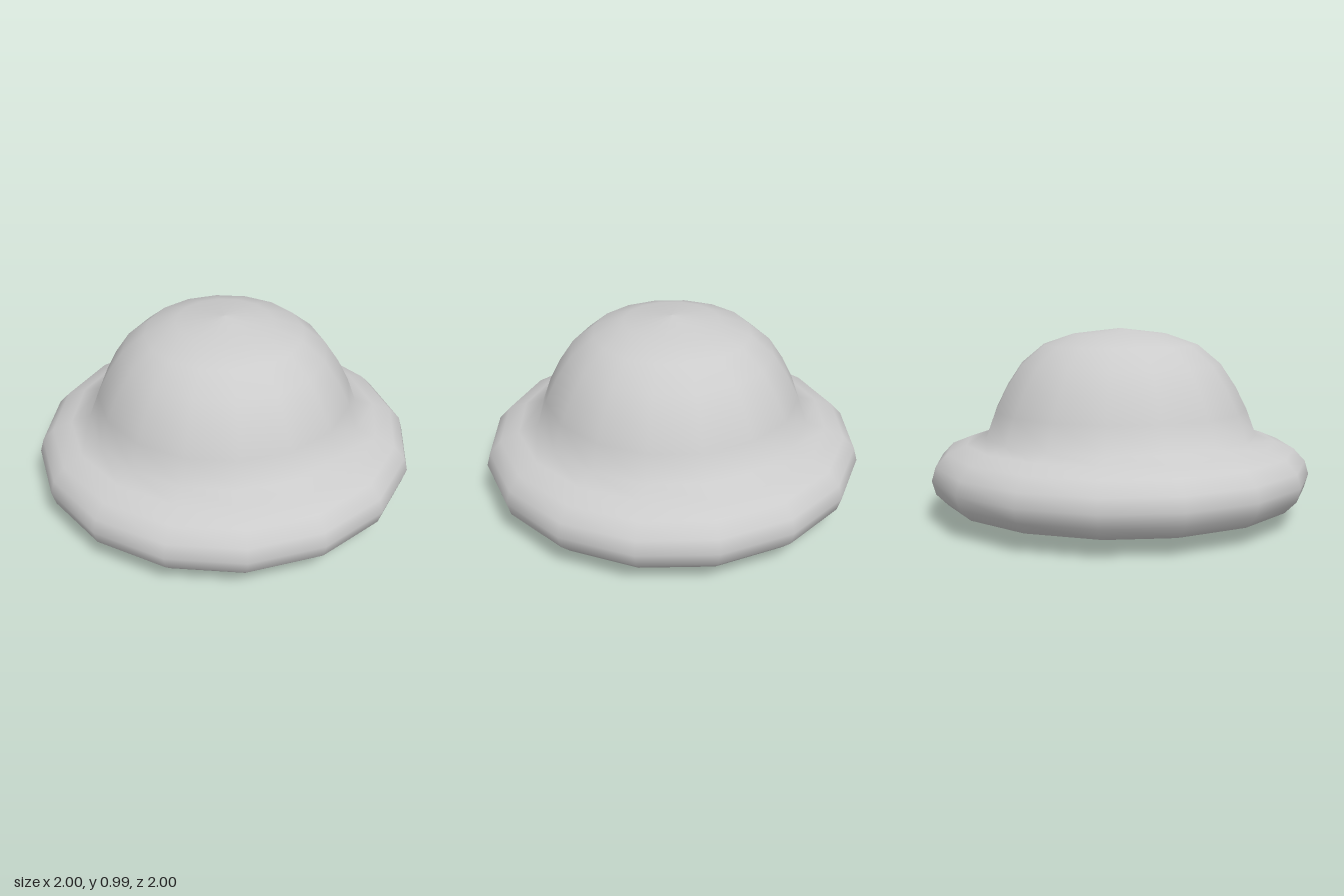
import * as THREE from 'three';

const SIDES = 16;

export function createModel() {
  const group = new THREE.Group();
  group.name = 'domedHat';
  const material = new THREE.MeshStandardMaterial({ color: 0xcccccc });

  // Rounded brim flowing into the dome, from the underside up to the crown
  const profile = [
    [0.45, 0], [0.8, 0.055], [0.92, 0.09], [0.98, 0.15], [1, 0.22],
    [0.98, 0.29], [0.92, 0.355], [0.82, 0.395], [0.72, 0.425],
    [0.67, 0.56], [0.61, 0.68], [0.53, 0.8], [0.41, 0.9], [0.25, 0.955], [0, 0.985],
  ].map(([r, y]) => new THREE.Vector2(r, y));
  const body = new THREE.Mesh(new THREE.LatheGeometry(profile, SIDES), material);
  body.name = 'brimAndDome';
  group.add(body);

  // Flat disc closing the underside
  const base = new THREE.Mesh(new THREE.CircleGeometry(0.45, SIDES).rotateX(Math.PI / 2), material);
  base.name = 'base';
  group.add(base);

  return group;
}
